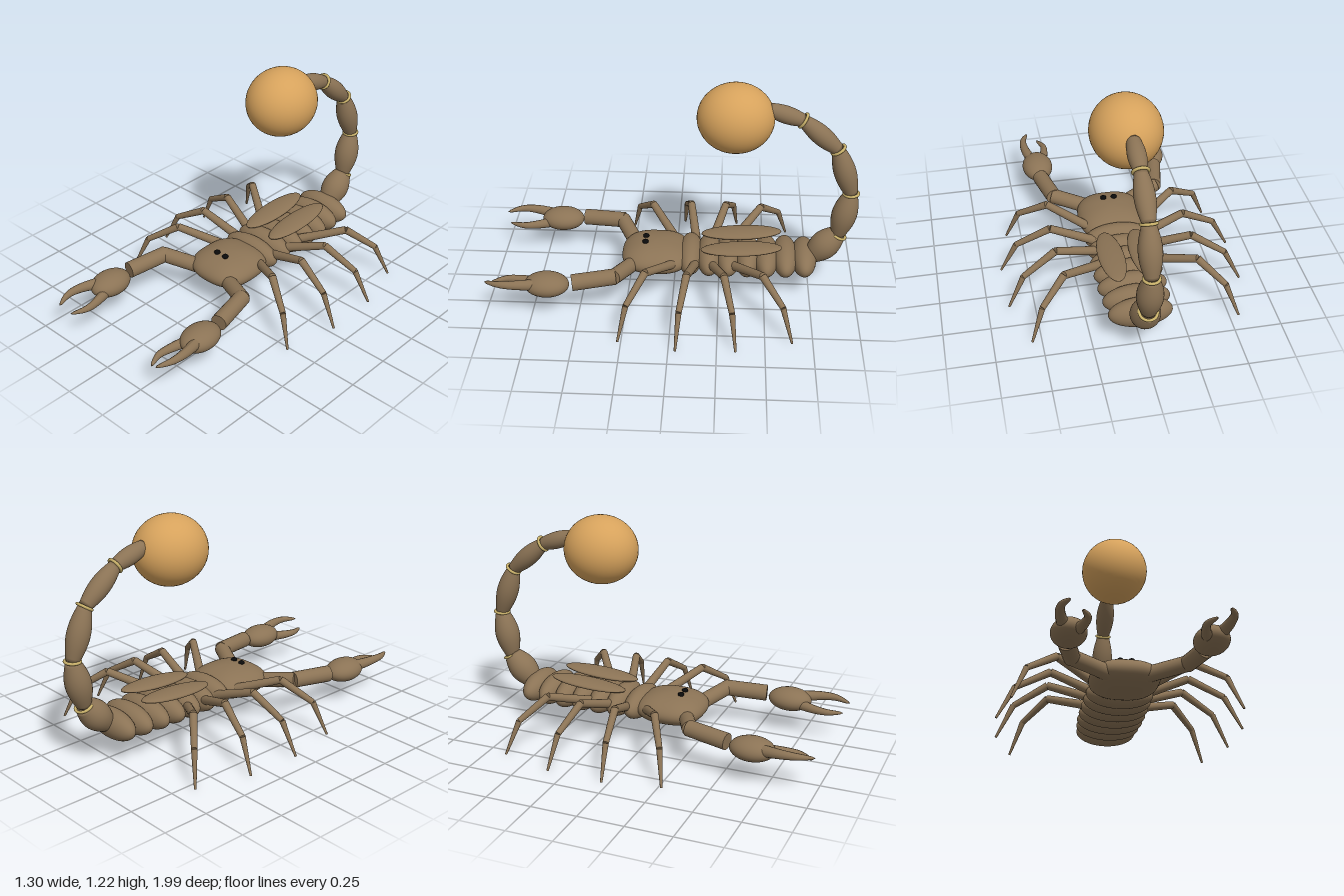
import * as THREE from 'three';

const mat = (name, color) => {
  const m = new THREE.MeshStandardMaterial({ color });
  m.name = name;
  return m;
};

export function createModel() {
  const brown = mat('shell brown', 0x8b7355);
  const amber = mat('amber', 0xd6a25c);
  const straw = mat('joint straw', 0xc8b06a);
  const black = mat('eye black', 0x0a0a0a);
  const root = new THREE.Group();
  root.name = 'scorpion';
  const V = (x, y, z) => new THREE.Vector3(x, y, z);
  const UP = V(0, 1, 0);

  const add = (name, geo, material, parent = root) => {
    const mesh = new THREE.Mesh(geo, material);
    mesh.name = name;
    parent.add(mesh);
    return mesh;
  };
  const ellipsoid = (name, c, r, material = brown, parent = root) => {
    const m = add(name, new THREE.SphereGeometry(1, 40, 28), material, parent);
    m.position.set(...c);
    m.scale.set(...r);
    return m;
  };
  // Place a geometry whose axis is y between two points
  const span = (mesh, a, b) => {
    mesh.position.copy(a).lerp(b, 0.5);
    mesh.quaternion.setFromUnitVectors(UP, b.clone().sub(a).normalize());
    return mesh;
  };
  const limb = (name, a, b, ra, rb, parent) =>
    span(add(name, new THREE.CylinderGeometry(rb, ra, a.distanceTo(b), 20), brown, parent), a, b);
  // Swollen tail link with narrower flat ends
  const barrel = (name, a, b, mid, end) => {
    const len = a.distanceTo(b), pts = [new THREE.Vector2(0, -len / 2)];
    for (let i = 0; i <= 16; i++) {
      const t = i / 16;
      pts.push(new THREE.Vector2(end + (mid - end) * Math.sin(Math.PI * t), (t - 0.5) * len));
    }
    pts.push(new THREE.Vector2(0, len / 2));
    return span(add(name, new THREE.LatheGeometry(pts, 32), brown), a, b);
  };
  // Curved tube that narrows to a point
  const claw = (name, points, r, parent) => {
    const curve = new THREE.CatmullRomCurve3(points), n = 20, sides = 14;
    const geo = new THREE.TubeGeometry(curve, n, r, sides);
    const pos = geo.attributes.position, p = V(0, 0, 0);
    for (let i = 0; i <= n; i++) {
      const c = curve.getPointAt(i / n), k = Math.sqrt(1 - i / n) * 0.97 + 0.03;
      for (let j = 0; j <= sides; j++) {
        const id = i * (sides + 1) + j;
        p.fromBufferAttribute(pos, id).sub(c).multiplyScalar(k).add(c);
        pos.setXYZ(id, p.x, p.y, p.z);
      }
    }
    geo.computeVertexNormals();
    return add(name, geo, brown, parent);
  };

  // Head: sphere squared off in plan
  const headGeo = new THREE.SphereGeometry(1, 48, 32);
  const hp = headGeo.attributes.position;
  for (let i = 0; i < hp.count; i++) {
    const x = hp.getX(i), z = hp.getZ(i), l = Math.hypot(x, z);
    const q = Math.pow(Math.abs(x) ** 2.7 + Math.abs(z) ** 2.7, 1 / 2.7);
    const k = q > 1e-6 ? l / q : 1;
    hp.setXYZ(i, x * k * 0.184, hp.getY(i) * 0.085, z * k * 0.19);
  }
  headGeo.computeVertexNormals();
  add('head', headGeo, brown).position.set(0, 0.192, 0.097);

  // Abdomen rings
  [0.18, 0.183, 0.185, 0.186, 0.185, 0.178, 0.168].forEach((w, i) =>
    ellipsoid('abdomenSegment', [0, 0.186, -0.09 - i * 0.1045], [w, 0.08, 0.07]));

  // Tail links, joint bands and the bulb
  const joints = [[0.2, -0.76], [0.34, -0.893], [0.596, -0.948], [0.858, -0.862], [1.024, -0.67], [1.085, -0.49]]
    .map(([y, z]) => V(0, y, z));
  const mids = [0.078, 0.068, 0.06, 0.053, 0.047], ends = [0.05, 0.037, 0.035, 0.033, 0.034];
  for (let i = 0; i < 5; i++) {
    barrel('tailSegment', joints[i], joints[i + 1], mids[i], ends[i]);
    if (i === 0) continue;
    const band = add('tailBand', new THREE.TorusGeometry(i === 1 ? 0.046 : 0.039, 0.008, 10, 36), straw);
    band.position.copy(joints[i]);
    band.quaternion.setFromUnitVectors(V(0, 0, 1), joints[i + 1].clone().sub(joints[i - 1]).normalize());
  }
  ellipsoid('tailBulb', [0, 1.03, -0.32], [0.187, 0.187, 0.204], amber);

  // Hip, knee, ankle and foot of each left leg
  const legs = [
    [[0.13, 0.2, -0.005], [0.355, 0.287, 0.137], [0.51, 0.18, 0.228], [0.582, 0.003, 0.268]],
    [[0.13, 0.2, -0.118], [0.37, 0.287, -0.082], [0.555, 0.18, -0.05], [0.645, 0.003, -0.036]],
    [[0.13, 0.2, -0.21], [0.37, 0.287, -0.28], [0.55, 0.18, -0.326], [0.636, 0.003, -0.348]],
    [[0.13, 0.2, -0.325], [0.355, 0.287, -0.482], [0.485, 0.18, -0.59], [0.55, 0.003, -0.642]],
  ];

  for (const s of [1, -1]) {
    const side = s > 0 ? 'left' : 'right';
    const P = (x, y, z) => V(s * x, y, z);

    ellipsoid(side + 'Eye', [s * 0.03, 0.276, 0.157], [0.017, 0.013, 0.017], black);

    // Leaf-shaped back plate
    const plate = ellipsoid(side + 'BackPlate', [s * 0.085, 0.28, -0.37], [0.07, 0.022, 0.222]);
    plate.rotation.x = 0.06;

    legs.forEach((pts) => {
      const leg = new THREE.Group();
      leg.name = side + 'Leg';
      root.add(leg);
      const [hip, knee, ankle, foot] = pts.map((p) => P(...p));
      limb('upperLeg', hip, knee, 0.025, 0.021, leg);
      limb('middleLeg', knee, ankle, 0.021, 0.016, leg);
      limb('lowerLeg', ankle, foot, 0.016, 0.006, leg);
    });

    // Arm and pincer
    const arm = new THREE.Group();
    arm.name = side + 'Arm';
    root.add(arm);
    limb('upperArm', P(0.1, 0.18, 0.215), P(0.3, 0.215, 0.312), 0.042, 0.042, arm);
    limb('forearm', P(0.292, 0.215, 0.3), P(0.34, 0.2, 0.53), 0.044, 0.045, arm);
    ellipsoid('palm', [s * 0.34, 0.187, 0.664], [0.088, 0.063, 0.12], brown, arm);
    claw('outerFinger', [P(0.37, 0.2, 0.72), P(0.395, 0.21, 0.83), P(0.395, 0.212, 0.91), P(0.362, 0.205, 0.995)], 0.031, arm);
    claw('innerFinger', [P(0.308, 0.178, 0.72), P(0.28, 0.172, 0.82), P(0.274, 0.17, 0.89), P(0.306, 0.166, 0.972)], 0.029, arm);
  }
  return root;
}
